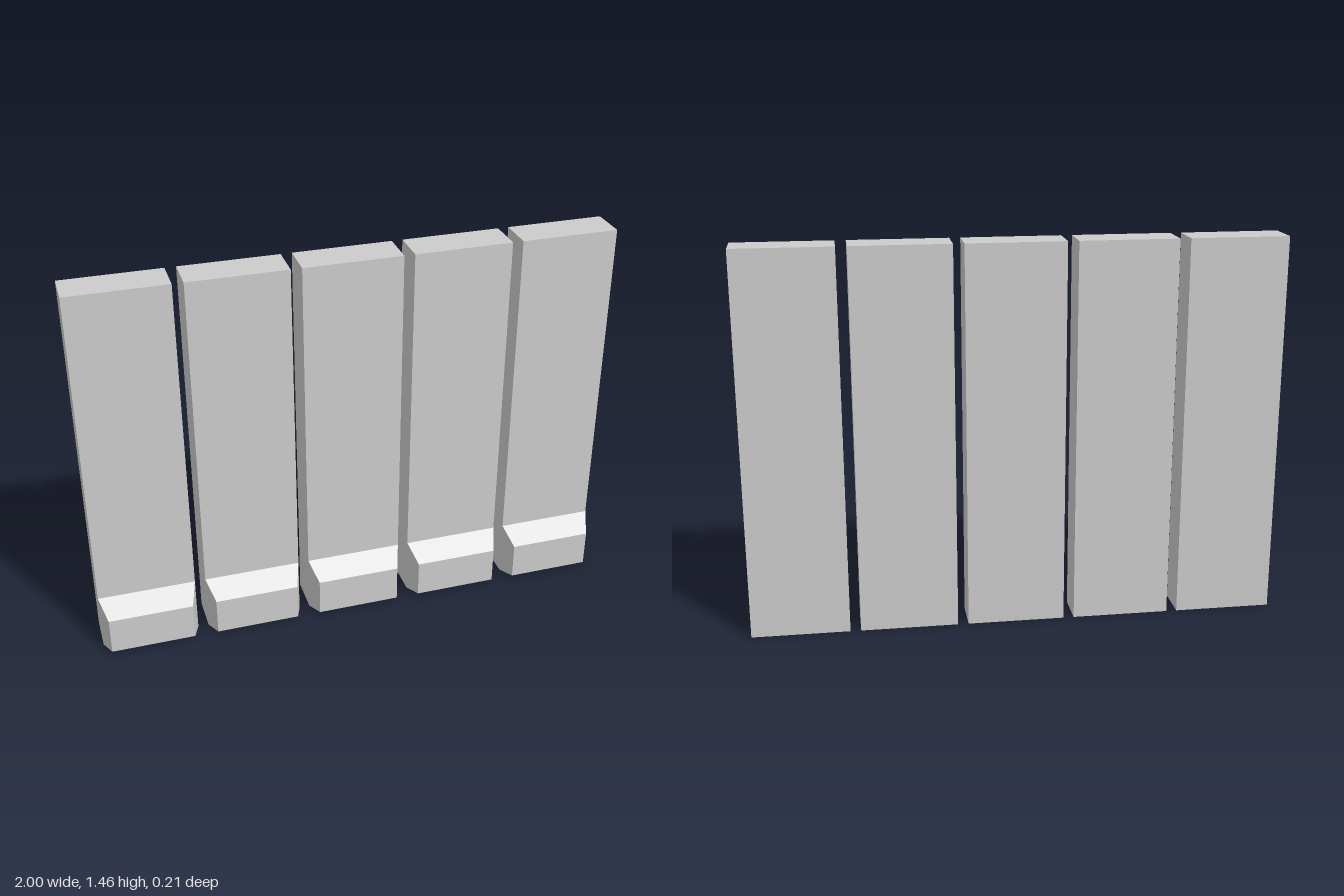
import * as THREE from 'three';

const COUNT = 5;
const WIDTH = 0.368, PITCH = 0.408, HEIGHT = 1.455;
const BACK = -0.106, FACE = 0.034, TOE = 0.106;

// Upright plank, standing on y = 0
function slabGeometry() {
  const g = new THREE.BoxGeometry(WIDTH, HEIGHT, FACE - BACK);
  g.translate(0, HEIGHT / 2, (FACE + BACK) / 2);
  return g;
}

// Bevelled foot block: a box whose front face is narrowed on all four sides
function footGeometry() {
  const g = new THREE.BoxGeometry(WIDTH, 1, 1);
  const p = g.attributes.position;
  for (let i = 0; i < p.count; i++) {
    const front = p.getZ(i) > 0, top = p.getY(i) > 0;
    const halfWidth = front ? 0.159 : WIDTH / 2;
    const y = front ? (top ? 0.16 : 0.016) : (top ? 0.22 : 0);
    p.setXYZ(i, Math.sign(p.getX(i)) * halfWidth, y, front ? TOE : FACE);
  }
  // The last six indices are the back face, hidden against the plank
  g.setIndex(Array.from(g.index.array).slice(0, 30));
  g.clearGroups();
  g.computeVertexNormals();
  return g;
}

export function createModel() {
  const model = new THREE.Group();
  model.name = 'panelRow';
  const grey = new THREE.MeshStandardMaterial({ color: 0xcccccc });
  grey.name = 'lightGrey';

  const slab = slabGeometry(), foot = footGeometry();
  for (let i = 0; i < COUNT; i++) {
    const panel = new THREE.Group();
    panel.name = `panel${i + 1}`;
    panel.position.x = (i - (COUNT - 1) / 2) * PITCH;
    for (const [name, geometry] of [['plank', slab], ['bevelledFoot', foot]]) {
      const mesh = new THREE.Mesh(geometry, grey);
      mesh.name = name;
      panel.add(mesh);
    }
    model.add(panel);
  }
  return model;
}
